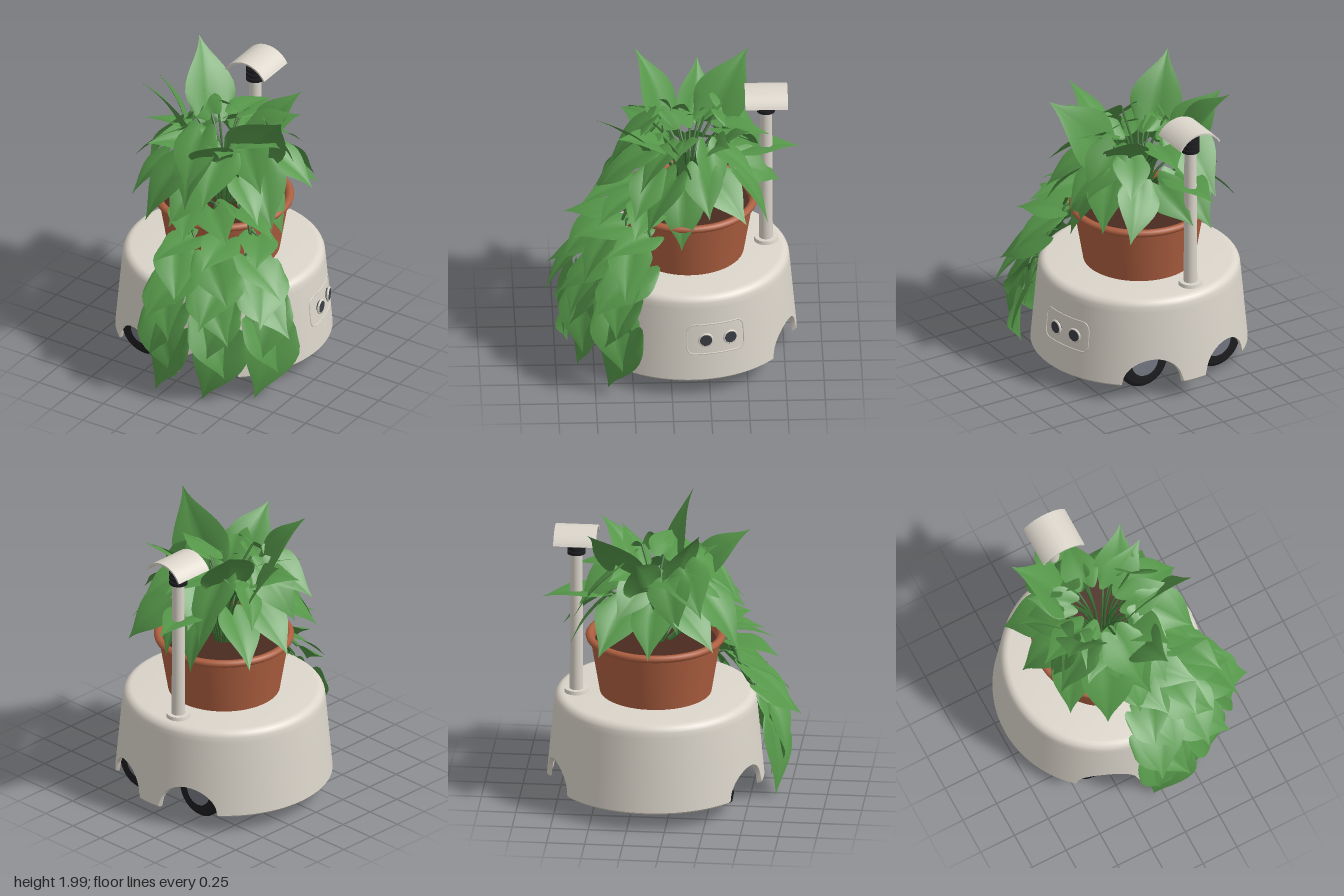
import * as THREE from 'three';
import { toCreasedNormals } from 'three/addons/utils/BufferGeometryUtils.js';

const V = (x, y, z) => new THREE.Vector3(x, y, z);
const P = (x, y) => new THREE.Vector2(x, y);
const material = (name, color, side = THREE.FrontSide) => {
  const m = new THREE.MeshStandardMaterial({ color, side });
  m.name = name;
  return m;
};

// Common axis of the base and the pot
const CX = -0.03, CZ = -0.125;
const deg = Math.PI / 180;
// Point at azimuth a (from +z towards +x), radius r, height y
const polar = (a, r, y) => V(CX + r * Math.sin(a), y, CZ + r * Math.cos(a));
const wallRadius = (y) => 0.712 - 0.09 * (y - 0.12);

export function createModel() {
  const model = new THREE.Group();
  model.name = 'plantRover';
  const shellMat = material('warm white shell', 0xdbd5ca);
  const tyreMat = material('black rubber', 0x1d1d20);
  const hubMat = material('grey hub', 0x747881);
  const chassisMat = material('dark chassis', 0x2c2c33);
  const lensMat = material('dark lens', 0x3b3e46);
  const potMat = material('terracotta', 0xae5f40);
  const soilMat = material('soil', 0x4a2b20);
  const leafMat = material('leaf green', 0x559649, THREE.DoubleSide);
  const stemMat = material('stem green', 0x3a6d32);

  const add = (name, geometry, mat, x = 0, y = 0, z = 0, parent = model) => {
    const mesh = new THREE.Mesh(geometry, mat);
    mesh.name = name;
    mesh.position.set(x, y, z);
    parent.add(mesh);
    return mesh;
  };
  let seed = 7;
  const rnd = () => {
    seed = (seed * 16807) % 2147483647;
    return (seed / 2147483647) * 2 - 1;
  };

  // Hollow base shell, its lower edge lifted into four wheel arches
  const wheelX = [-0.31, 0.24], wheelZ = [0.34, -0.58];
  const profile = [P(0, 0.62), P(0.6, 0.62)];
  for (let i = 0; i <= 6; i++) {
    const y = 0.42 - i * 0.05;
    profile.push(P(wallRadius(y) - 0.03, y));
  }
  profile.push(P(0.7, 0.12));
  for (let i = 0; i <= 6; i++) {
    const y = 0.132 + i * 0.05;
    profile.push(P(wallRadius(y), y));
  }
  profile.push(P(wallRadius(0.64), 0.64));
  for (let i = 1; i <= 6; i++) {
    const a = (i / 6) * 90 * deg;
    profile.push(P(0.605 + 0.058 * Math.cos(a), 0.662 + 0.06 * Math.sin(a)));
  }
  profile.push(P(0, 0.722));
  const shell = new THREE.LatheGeometry(profile, 360);
  const sp = shell.attributes.position;
  for (let i = 0; i < sp.count; i++) {
    const x = sp.getX(i), y = sp.getY(i), z = sp.getZ(i), r = Math.hypot(x, z);
    if (y > 0.434 || r < 0.5) continue;
    let lift = 0;
    for (const wx of wheelX) {
      const d = 0.185 ** 2 - (x + CX - wx) ** 2;
      if (d > 0) lift = Math.sqrt(d);
    }
    const ny = y + lift * (1 - (y - 0.12) / 0.315);
    const k = (r + wallRadius(ny) - wallRadius(y)) / r;
    sp.setXYZ(i, x * k, ny, z * k);
  }
  add('baseShell', toCreasedNormals(shell, 0.6), shellMat, CX, 0, CZ);

  // Chassis tray with cut corners between the wheels
  const tray = new THREE.Shape([P(-0.62, -0.2), P(-0.44, -0.38), P(0.44, -0.38), P(0.62, -0.2),
    P(0.62, 0.2), P(0.44, 0.38), P(-0.44, 0.38), P(-0.62, 0.2)]);
  add('chassis', new THREE.ExtrudeGeometry(tray, { depth: 0.2, bevelEnabled: false })
    .rotateX(-Math.PI / 2), chassisMat, CX, 0.135, CZ);

  // Wheels
  const tyre = new THREE.LatheGeometry([P(0, -0.068), P(0.11, -0.071), P(0.15, -0.071), P(0.17, -0.067),
    P(0.18, -0.055), P(0.18, 0.055), P(0.17, 0.067), P(0.15, 0.071), P(0.11, 0.071), P(0, 0.068)], 48)
    .rotateX(Math.PI / 2);
  const hub = new THREE.CylinderGeometry(0.098, 0.098, 0.154, 40).rotateX(Math.PI / 2);
  for (const x of wheelX) for (const z of wheelZ) {
    add('tyre', tyre, tyreMat, x, 0.243, z);
    add('wheelHub', hub, hubMat, x, 0.243, z);
  }

  // Sensor panel: raised outline and two lenses on the left wall
  const outline = [], mid = 104 * deg;
  const onWall = (u, y) => outline.push(polar(mid - u / 0.69, wallRadius(y), y));
  for (const [sx, sy, start] of [[1, 1, 0], [-1, 1, 90], [-1, -1, 180], [1, -1, 270]]) {
    for (let i = 0; i <= 4; i++) {
      const a = (start + i * 22.5) * deg;
      onWall(sx * 0.145 + 0.05 * Math.cos(a), 0.42 + sy * 0.055 + 0.05 * Math.sin(a));
    }
    if (sx === sy) for (const u of [0.09, 0.03, -0.03, -0.09]) onWall(sx * u, 0.42 + sy * 0.105);
  }
  add('panelOutline', new THREE.TubeGeometry(new THREE.CatmullRomCurve3(outline, true), 120, 0.005, 6, true), shellMat);
  for (const z of [-0.22, -0.38]) {
    const a = Math.acos((z - CZ) / 0.69);
    const eye = new THREE.Group();
    eye.name = 'sensor';
    eye.position.copy(polar(a, wallRadius(0.42), 0.42));
    eye.rotation.y = a;
    model.add(eye);
    add('sensorRing', new THREE.TorusGeometry(0.043, 0.008, 8, 32), shellMat, 0, 0, 0.012, eye);
    add('sensorLens', new THREE.CylinderGeometry(0.04, 0.04, 0.03, 32).rotateX(Math.PI / 2), lensMat, 0, 0, 0.005, eye);
  }

  // Mast with collar rings and an arched hood
  const MX = -0.115, MZ = -0.638;
  add('mastFlange', new THREE.CylinderGeometry(0.075, 0.08, 0.025, 32), shellMat, MX, 0.733, MZ);
  add('mast', new THREE.CylinderGeometry(0.04, 0.045, 1.0, 32), shellMat, MX, 1.22, MZ);
  add('mastTip', new THREE.CylinderGeometry(0.026, 0.026, 0.18, 24), shellMat, MX, 1.79, MZ);
  add('collarCore', new THREE.CylinderGeometry(0.048, 0.048, 0.13, 24), tyreMat, MX, 1.765, MZ);
  for (let i = 0; i < 4; i++)
    add('collarRing', new THREE.CylinderGeometry(0.06, 0.06, 0.022, 32), tyreMat, MX, 1.71 + i * 0.034, MZ);
  const hood = new THREE.Shape();
  hood.absarc(0, 0, 0.175, 29 * deg, 151 * deg, false);
  hood.absarc(0, 0, 0.163, 151 * deg, 29 * deg, true);
  add('hood', toCreasedNormals(new THREE.ExtrudeGeometry(hood, { depth: 0.28, bevelEnabled: false, curveSegments: 24 }), 0.5),
    shellMat, -0.107, 1.712, MZ - 0.14);

  // Pot and soil
  add('pot', toCreasedNormals(new THREE.LatheGeometry([P(0, 0.715), P(0.365, 0.715), P(0.426, 1.08), P(0.44, 1.083),
    P(0.455, 1.095), P(0.459, 1.11), P(0.45, 1.124), P(0.435, 1.13), P(0.415, 1.127), P(0.405, 1.11), P(0.395, 1.05)], 72), 0.9),
    potMat, CX, 0, CZ);
  add('soil', new THREE.CylinderGeometry(0.4, 0.4, 0.02, 48), soilMat, CX, 1.06, CZ);

  // Heart-shaped leaf, folded along the midrib and arched from base to tip
  const widths = [0.3, 0.36, 0.38, 0.36, 0.315, 0.25, 0.175, 0.1, 0.04, 0];
  const leafGeometry = (length) => {
    const g = new THREE.PlaneGeometry(2, 1, 10, widths.length - 1);
    const p = g.attributes.position;
    for (let i = 0; i < p.count; i++) {
      const s = p.getX(i), t = 0.5 - p.getY(i), a = Math.abs(s);
      const w = widths[Math.round(t * 9)];
      p.setXYZ(i, s * w * length, length * (0.24 * a * w + 0.06 * Math.sin(Math.PI * t) - 0.12 * w * a * a),
        length * (t - 0.2 * Math.sin(Math.PI * a) * (1 - t) ** 4));
    }
    g.computeVertexNormals();
    return g;
  };
  const foliage = new THREE.Group();
  foliage.name = 'foliage';
  model.add(foliage);
  const leaf = (base, tip, roll) => {
    const dir = tip.clone().sub(base), length = dir.length();
    dir.normalize();
    const out = V(base.x - CX, 0, base.z - CZ).normalize();
    const up = V(0, 1, 0).addScaledVector(out, dir.y < -0.5 ? 0.6 : 0);
    const side = up.cross(dir).normalize();
    const mesh = add('leaf', leafGeometry(length), leafMat, base.x, base.y, base.z, foliage);
    mesh.quaternion.setFromRotationMatrix(new THREE.Matrix4().makeBasis(side, dir.clone().cross(side), dir));
    mesh.rotateZ(roll);
  };
  const stem = (name, points, radius) =>
    add(name, new THREE.TubeGeometry(new THREE.CatmullRomCurve3(points), 16, radius, 6), stemMat, 0, 0, 0, foliage);
  const crownLeaf = (base, tip, roll = 0) => {
    const a = Math.atan2(base.x - CX, base.z - CZ), r = Math.hypot(base.x - CX, base.z - CZ);
    stem('leafStem', [polar(a, 0.05, 1.06), polar(a, r * 0.4, 1.06 + (base.y - 1.06) * 0.7), base], 0.008);
    leaf(base, tip, roll);
  };

  // Crown rings: count, first azimuth, base radius and height, tip radius and height
  for (const [n, first, br, by, tr, ty] of [
    [11, 12, 0.33, 1.42, 0.6, 1.15], [10, 0, 0.26, 1.6, 0.55, 1.36], [7, 30, 0.18, 1.56, 0.52, 1.64]])
    for (let i = 0; i < n; i++) {
      const a = (first + (i * 360) / n + rnd() * 7) * deg;
      crownLeaf(polar(a, br + rnd() * 0.04, by + rnd() * 0.06),
        polar(a + rnd() * 0.25, tr + rnd() * 0.05, ty + rnd() * 0.08), rnd() * 0.6);
    }
  // Tall and far-reaching leaves
  for (const [b, t, roll] of [
    [V(-0.24, 1.62, 0.05), V(-0.45, 1.99, 0.21), 0.3], [V(-0.25, 1.6, -0.3), V(-0.48, 1.97, -0.53), 0.3],
    [V(0.2, 1.5, -0.02), V(0.54, 1.92, 0.07), -0.9], [V(-0.35, 1.55, -0.15), V(-0.61, 1.83, -0.2), 0.8],
    [V(0.1, 1.55, 0.18), V(0.15, 1.8, 0.48), 0.4], [V(-0.1, 1.42, -0.48), V(-0.16, 1.4, -0.86), 0],
    [V(0.27, 1.32, -0.08), V(0.46, 0.98, -0.07), 0], [V(0.3, 1.5, -0.2), V(0.58, 1.28, -0.25), 0.2],
    [V(0.15, 1.55, -0.3), V(0.32, 1.8, -0.52), 0.2], [V(-0.05, 1.68, 0.12), V(0.0, 1.38, 0.4), 0]])
    crownLeaf(b, t, roll);

  // Trailing vines over the front rim
  const vineLeaves = [[0.38, 1.21, 0.72, 1.13], [0.5, 1.05, 0.82, 0.99], [0.55, 0.95, 0.84, 0.73],
    [0.6, 0.86, 0.93, 0.6], [0.66, 0.78, 0.96, 0.51], [0.72, 0.66, 0.87, 0.3], [0.75, 0.56, 0.83, 0.16],
    [0.76, 0.47, 0.79, 0.005]];
  for (const az of [4, 28, 53]) {
    stem('vine', [[0.08, 1.06], [0.28, 1.2], [0.45, 1.16], [0.52, 0.98], [0.6, 0.8], [0.7, 0.68], [0.73, 0.46]]
      .map(([r, y]) => polar(az * deg, r, y)), 0.011);
    vineLeaves.forEach(([br, by, tr, ty], i) => {
      const s = (i % 2 ? 1 : -1) * 6 * deg, a = az * deg;
      const base = polar(a + s, br, by);
      stem('leafStem', [polar(a, br - 0.06, by + 0.02), polar(a + s / 2, br - 0.02, by + 0.03), base], 0.008);
      leaf(base, polar(a - s, tr, ty), rnd() * 0.25);
    });
  }
  return model;
}
